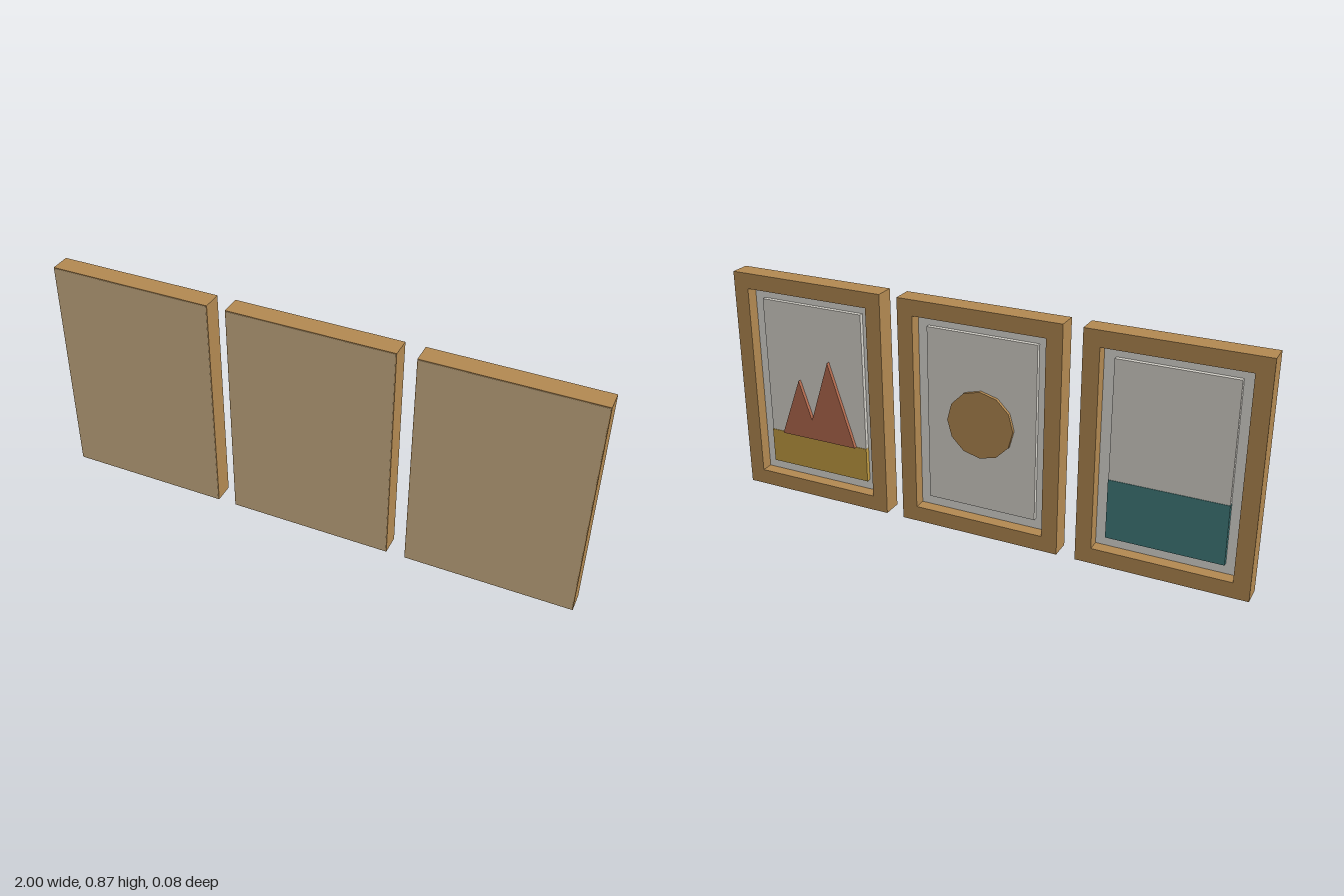
import * as THREE from 'three';

const W = 0.62, H = 0.865, D = 0.076, BORDER = 0.059, SPACING = 0.69;
const ART_W = 0.42, ART_H = 0.665, ART_BOTTOM = (H - ART_H) / 2;
const MAT_Z = 0.008, ART_Z = -0.008; // picture faces look towards -z

const paint = (name, color) => {
  const m = new THREE.MeshStandardMaterial({ color });
  m.name = name;
  return m;
};

export function createModel() {
  const wood = paint('wood', 0xb48a52);
  const board = paint('backing board', 0xd2b68a);
  const mat = paint('mat board', 0xe0ded8);
  const paper = paint('paper', 0xd9d6ce);
  const clay = paint('clay', 0xb46b4f);
  const ochre = paint('ochre', 0xc49e43);
  const teal = paint('teal', 0x437e7e);

  const add = (parent, name, geometry, material, x = 0, y = 0, z = 0) => {
    const mesh = new THREE.Mesh(geometry, material);
    mesh.name = name;
    mesh.position.set(x, y, z);
    parent.add(mesh);
    return mesh;
  };
  // Box given by its bottom height and its two z faces
  const slab = (parent, name, w, h, bottom, z0, z1, material) =>
    add(parent, name, new THREE.BoxGeometry(w, h, z1 - z0), material, 0, bottom + h / 2, (z0 + z1) / 2);

  const rectangle = (path, w, h) => path
    .moveTo(-w / 2, -h / 2).lineTo(w / 2, -h / 2).lineTo(w / 2, h / 2).lineTo(-w / 2, h / 2).closePath();

  // Rectangular frame with an opening, shared by all three pictures
  const outline = new THREE.Shape();
  rectangle(outline, W, H);
  const opening = new THREE.Path();
  rectangle(opening, W - 2 * BORDER, H - 2 * BORDER);
  outline.holes.push(opening);
  const frameGeometry = new THREE.ExtrudeGeometry(outline, { depth: D, bevelEnabled: false });

  const framedPicture = (name, x) => {
    const g = new THREE.Group();
    g.name = name;
    g.position.x = x;
    add(g, 'frame', frameGeometry, wood, 0, H / 2, -D / 2);
    slab(g, 'backingBoard', W - 0.006, H - 0.006, 0.003, D / 2 - 0.001, D / 2 + 0.001, board);
    slab(g, 'mat', W - 2 * BORDER, H - 2 * BORDER, BORDER, MAT_Z, D / 2 - 0.002, mat);
    slab(g, 'artPaper', ART_W, ART_H, ART_BOTTOM, ART_Z, MAT_Z, paper);
    return g;
  };
  // Painted band along the lower edge of the paper, wrapping its sides
  const band = (g, name, h, material) =>
    slab(g, name, ART_W + 0.002, h, ART_BOTTOM - 0.001, ART_Z - 0.002, MAT_Z, material);

  // Mountains above a strip of ground
  const mountainPicture = framedPicture('mountainPicture', SPACING);
  band(mountainPicture, 'ground', 0.135, ochre);
  const ridge = new THREE.Shape([
    [0.153, 0.234], [0.066, 0.465], [0.016, 0.313], [-0.066, 0.56], [-0.168, 0.234],
  ].map(([x, y]) => new THREE.Vector2(x, y)));
  add(mountainPicture, 'mountains',
    new THREE.ExtrudeGeometry(ridge, { depth: 0.014, bevelEnabled: false }), clay, 0, 0, ART_Z - 0.014);

  // Round sun
  const sunPicture = framedPicture('sunPicture', 0);
  const disc = new THREE.CylinderGeometry(0.128, 0.128, 0.012, 12).rotateX(Math.PI / 2);
  add(sunPicture, 'sun', disc, wood, 0, H / 2, ART_Z - 0.006);

  // Sea below an empty sky
  const seaPicture = framedPicture('seaPicture', -SPACING);
  band(seaPicture, 'sea', 0.225, teal);

  const model = new THREE.Group();
  model.name = 'framedPictures';
  model.add(mountainPicture, sunPicture, seaPicture);
  return model;
}
